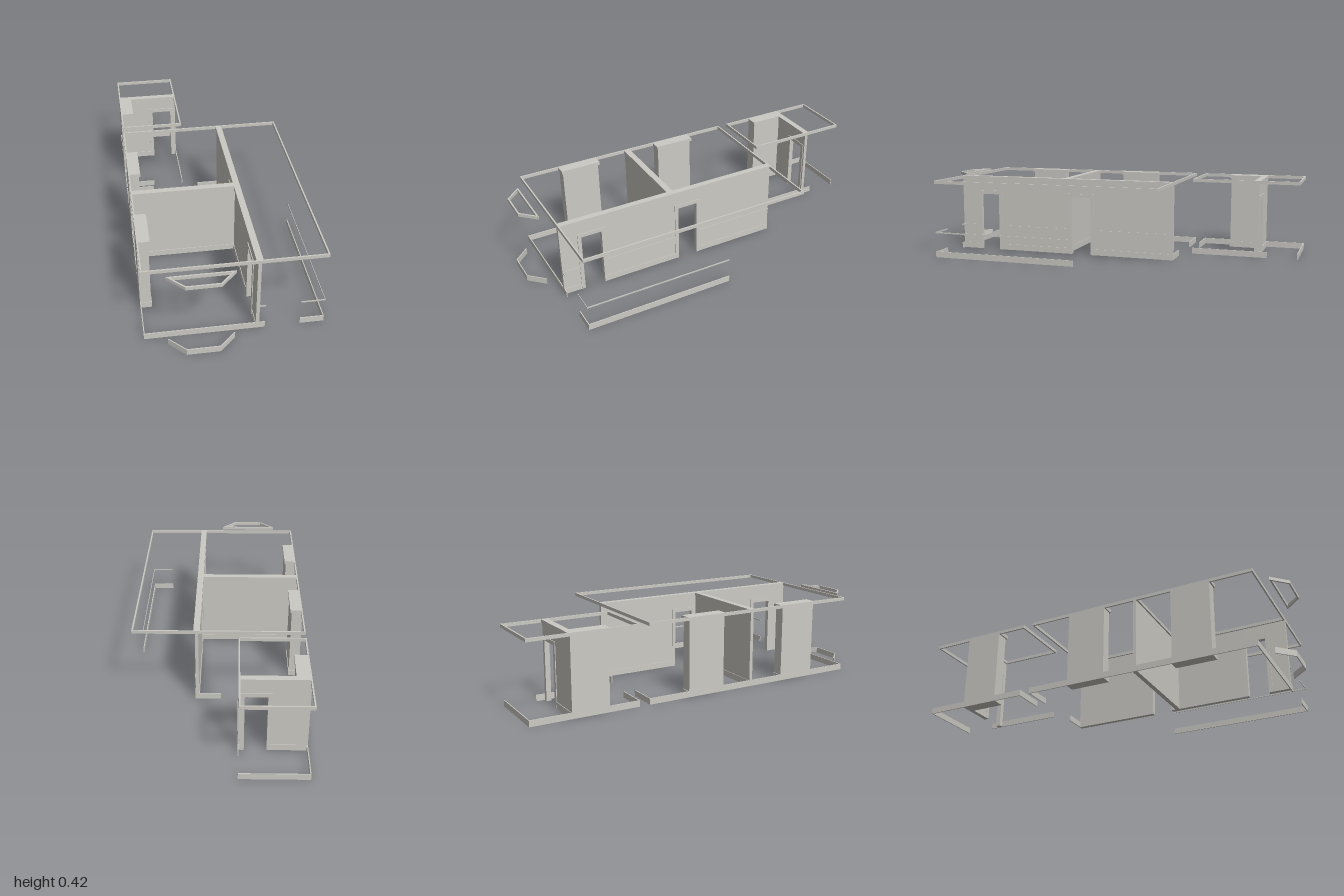
import * as THREE from 'three';

const H = 0.417;            // full wall height
const SK = 0.032;           // skirting height
const CO = 0.4;             // underside of cornice
const CT = 0.008, ST = 0.005; // cornice and skirting thickness

export function createModel() {
  const model = new THREE.Group();
  const plaster = new THREE.MeshStandardMaterial({ color: 0xcccac4 });
  plaster.name = 'plaster';

  const group = (name) => {
    const g = new THREE.Group();
    g.name = name;
    model.add(g);
    return g;
  };

  // Box given by its limits
  const bar = (parent, name, x0, x1, y0, y1, z0, z1) => {
    const m = new THREE.Mesh(new THREE.BoxGeometry(x1 - x0, y1 - y0, z1 - z0), plaster);
    m.position.set((x0 + x1) / 2, (y0 + y1) / 2, (z0 + z1) / 2);
    m.name = name;
    parent.add(m);
  };
  const skirt = (p, x0, x1, z0, z1) => bar(p, 'skirting', x0, x1, 0, SK, z0, z1);
  const cornice = (p, x0, x1, z0, z1) => bar(p, 'cornice', x0, x1, CO, H, z0, z1);
  const rail = (p, x0, x1, z0, z1) => bar(p, 'dadoRail', x0, x1, 0.132, 0.139, z0, z1);

  // Closed rectangular cornice around a room
  const corniceFrame = (p, x0, x1, z0, z1) => {
    cornice(p, x0, x1, z0, z0 + CT);
    cornice(p, x0, x1, z1 - CT, z1);
    cornice(p, x0, x0 + CT, z0 + CT, z1 - CT);
    cornice(p, x1 - CT, x1, z0 + CT, z1 - CT);
  };

  // Straight wall with doorways; "along" is the axis it runs on
  const wall = (name, along, a0, a1, t0, t1, doors, railSide) => {
    const g = group(name);
    const put = (n, b0, b1, y0, y1, s0, s1) => along === 'x'
      ? bar(g, n, b0, b1, y0, y1, s0, s1)
      : bar(g, n, s0, s1, y0, y1, b0, b1);
    const top = 0.315, trim = 0.02, out = 0.004;
    let start = a0;
    for (const [d0, d1] of [...doors, [a1, a1]]) {
      put('wallPanel', start, d0, 0, H, t0, t1);
      put('skirting', start, d0, 0, SK, t0 - 0.003, t0);
      put('skirting', start, d0, 0, SK, t1, t1 + 0.003);
      if (railSide) put('dadoRail', start, d0, 0.132, 0.139, t1, t1 + 0.003);
      if (d1 > d0) {
        put('lintel', d0, d1, top, H, t0, t1);
        for (const [s0, s1] of [[t0 - out, t0], [t1, t1 + out]]) {
          put('architrave', d0 - trim, d0, 0, top + trim, s0, s1);
          put('architrave', d1, d1 + trim, 0, top + trim, s0, s1);
          put('architrave', d0, d1, top, top + trim, s0, s1);
        }
      }
      start = d1;
    }
    put('cornice', a0, a1, CO, H, t0 - CT, t0);
    put('cornice', a0, a1, CO, H, t1, t1 + CT);
  };

  // Chimney breast with its own skirting and cornice
  const chimney = (z0, z1, x1) => {
    const g = group('chimneyBreast');
    bar(g, 'breast', -0.44, x1, 0, H, z0, z1);
    cornice(g, -0.44, x1 + CT, z0 - CT, z1 + CT);
    skirt(g, -0.44, x1 + 0.003, z0 - 0.003, z1 + 0.003);
  };

  // Inner walls
  wall('hallWall', 'z', -0.37, 0.87, 0.102, 0.119, [[0.095, 0.205], [0.645, 0.755]], true);
  wall('crossWall', 'x', -0.44, 0.102, 0.232, 0.25, [], false);
  wall('rearWall', 'x', -0.44, -0.1, -0.786, -0.768, [[-0.24, -0.13]], false);

  // Chimney breasts
  chimney(0.44, 0.647, -0.384);
  chimney(-0.142, 0.066, -0.384);
  chimney(-0.768, -0.588, -0.376);

  // Main floor trim
  const main = group('mainRoomTrim');
  corniceFrame(main, -0.44, 0.44, -0.37, 0.87);
  skirt(main, -0.44, -0.44 + ST, -0.37, 0.87);
  skirt(main, -0.44, 0.147, 0.87 - ST, 0.87);
  skirt(main, 0.32, 0.44, 0.87 - ST, 0.87);
  skirt(main, 0.44 - ST, 0.44, 0.077, 0.87);
  skirt(main, -0.44, -0.28, -0.37, -0.37 + ST);
  skirt(main, -0.015, 0.102, -0.37, -0.37 + ST);
  rail(main, 0.119, 0.147, 0.867, 0.87);
  rail(main, 0.32, 0.44, 0.867, 0.87);
  rail(main, 0.437, 0.44, 0.077, 0.87);

  // Rear room trim
  const rear = group('rearRoomTrim');
  corniceFrame(rear, -0.44, -0.1, -1, -0.425);
  skirt(rear, -0.44, -0.44 + ST, -1, -0.425);
  skirt(rear, -0.44, -0.1, -1, -1 + ST);
  skirt(rear, -0.1 - ST, -0.1, -0.835, -0.425);
  skirt(rear, -0.44, -0.27, -0.425 - ST, -0.425);

  // Bay window trim: trapezoid outlines extruded upward
  const bay = group('bayTrim');
  const extrude = (name, outline, hole, y0, y1) => {
    const shape = new THREE.Shape(outline.map(([x, z]) => new THREE.Vector2(x, -z)));
    if (hole) shape.holes.push(new THREE.Path(hole.map(([x, z]) => new THREE.Vector2(x, -z))));
    const geo = new THREE.ExtrudeGeometry(shape, { depth: y1 - y0, bevelEnabled: false });
    geo.rotateX(-Math.PI / 2);
    const m = new THREE.Mesh(geo, plaster);
    m.position.y = y0;
    m.name = name;
    bay.add(m);
  };
  const outer = [[-0.33, 0.918], [-0.25, 1], [-0.087, 1], [-0.007, 0.918]];
  extrude('bayCornice', outer,
    [[-0.311, 0.926], [-0.247, 0.992], [-0.09, 0.992], [-0.026, 0.926]], CO, H);
  extrude('baySkirting',
    [...outer, [-0.014, 0.918], [-0.089, 0.995], [-0.248, 0.995], [-0.323, 0.918]], null, 0, SK);

  return model;
}
